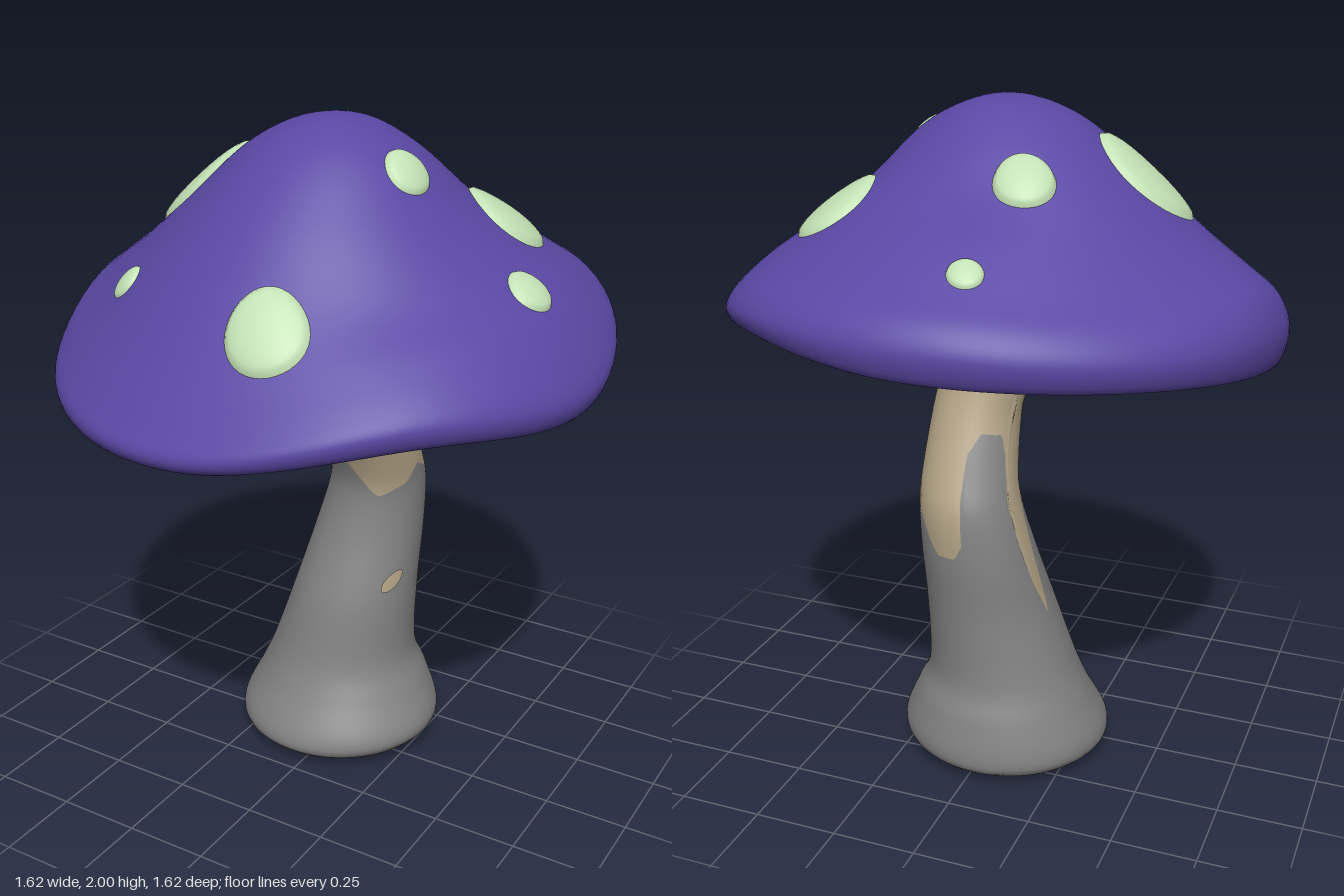
import * as THREE from 'three';
import { mergeVertices } from 'three/addons/utils/BufferGeometryUtils.js';

const TAU = Math.PI * 2;
const { lerp, smoothstep } = THREE.MathUtils;

// Catmull-Rom value between b and c
function cubic(a, b, c, d, t) {
  return b + 0.5 * t * (c - a + t * (2 * a - 5 * b + 4 * c - d + t * (3 * (b - c) + d - a)));
}

// Smooth value of a list at fractional index s; "before" is the value ahead of the first
function along(list, s, before = 2 * list[0] - list[1]) {
  const n = list.length;
  const i = Math.min(Math.max(Math.floor(s), 0), n - 2);
  const at = k => (k < 0 ? before : list[Math.min(k, n - 1)]);
  return cubic(at(i - 1), at(i), at(i + 1), at(i + 2), s - i);
}

// Index at which a monotone function reaches a value
function solve(fn, value, hi) {
  let lo = 0;
  const rising = fn(hi) > fn(0);
  for (let k = 0; k < 30; k++) {
    const mid = (lo + hi) / 2;
    if ((fn(mid) < value) === rising) lo = mid; else hi = mid;
  }
  return (lo + hi) / 2;
}

// Closed-around surface: point(row fraction, angle) gives a Vector3
function surface(rows, sides, point, splitRow) {
  const pos = [], index = [];
  for (let i = 0; i <= rows; i++) {
    for (let j = 0; j < sides; j++) pos.push(...point(i / rows, (j / sides) * TAU).toArray());
  }
  for (let i = 0; i < rows; i++) {
    for (let j = 0; j < sides; j++) {
      const k = (j + 1) % sides;
      const a = i * sides + j, b = i * sides + k, c = a + sides, d = b + sides;
      index.push(a, b, c, b, d, c);
    }
  }
  const geo = new THREE.BufferGeometry();
  geo.setAttribute('position', new THREE.Float32BufferAttribute(pos, 3));
  geo.setIndex(index);
  if (splitRow) {
    geo.addGroup(0, splitRow * sides * 6, 0);
    geo.addGroup(splitRow * sides * 6, (rows - splitRow) * sides * 6, 1);
  }
  const merged = mergeVertices(geo, 1e-5);
  merged.computeVertexNormals();
  return merged;
}

// Cap: shared radii, and heights for eight directions starting at +x and turning to +z
const capRadii = [0, 0.12, 0.25, 0.4, 0.55, 0.68, 0.77, 0.81, 0.79, 0.74, 0.54];
const capHeights = [
  [2, 1.98, 1.91, 1.76, 1.63, 1.53, 1.42, 1.34, 1.28],
  [2, 1.985, 1.92, 1.77, 1.60, 1.50, 1.42, 1.36, 1.305],
  [2, 1.985, 1.92, 1.78, 1.60, 1.43, 1.31, 1.25, 1.21],
  [2, 1.98, 1.91, 1.77, 1.61, 1.46, 1.35, 1.28, 1.22],
  [2, 1.98, 1.91, 1.78, 1.66, 1.57, 1.50, 1.40, 1.30],
  [2, 1.98, 1.91, 1.80, 1.68, 1.58, 1.51, 1.44, 1.37],
  [2, 1.98, 1.90, 1.77, 1.69, 1.61, 1.55, 1.48, 1.405],
  [2, 1.98, 1.90, 1.77, 1.67, 1.59, 1.53, 1.47, 1.42],
].map(h => [...h, h[8] + 0.01, h[8] + 0.055]); // lip rolled under

const capRadius = s => along(capRadii, s, -capRadii[1]);
function capHeight(s, angle) {
  const f = (((angle / TAU) % 1) + 1) % 1 * 8;
  const i = Math.floor(f);
  const h = k => along(capHeights[(i + k + 8) % 8], s, capHeights[(i + k + 8) % 8][1]);
  return cubic(h(-1), h(0), h(1), h(2), f - i);
}
function capPoint(s, angle) {
  const r = capRadius(s);
  return new THREE.Vector3(r * Math.cos(angle), capHeight(s, angle), r * Math.sin(angle));
}
function capOver(x, z) {
  const s = solve(capRadius, Math.hypot(x, z), 7);
  return new THREE.Vector3(x, capHeight(s, Math.atan2(z, x)), z);
}

// Domed spot lying on the cap: centre, half sizes and turn seen from above
function spotGeometry([x, z, rx, rz, turn]) {
  const c = Math.cos(turn), s = Math.sin(turn);
  const e = 0.02;
  return surface(10, 36, (v, a) => {
    const u = rx * v * Math.cos(a), w = rz * v * Math.sin(a);
    const px = x + u * c - w * s, pz = z + u * s + w * c;
    const p = capOver(px, pz);
    const normal = new THREE.Vector3(
      capOver(px - e, pz).y - capOver(px + e, pz).y, 2 * e,
      capOver(px, pz - e).y - capOver(px, pz + e).y).normalize();
    const lift = 0.033 * Math.min(1, rx / 0.08) * Math.sqrt(1 - v * v) - 0.003;
    return p.addScaledVector(normal, lift);
  });
}

// Stem sections from top to bottom: y, centre x, centre z, half width, half depth
const stem = [
  [1.5, 0.03, 0.02, 0.125, 0.125], [1.3, 0.045, -0.025, 0.135, 0.135],
  [1.2, 0.05, -0.05, 0.135, 0.14], [1.1, 0.063, -0.09, 0.132, 0.14],
  [0.95, 0.06, -0.155, 0.14, 0.145], [0.85, 0.05, -0.185, 0.15, 0.155],
  [0.7, 0.03, -0.172, 0.17, 0.172], [0.5, 0.005, -0.13, 0.195, 0.2],
  [0.3, -0.025, -0.11, 0.23, 0.225], [0.2, -0.025, -0.105, 0.272, 0.262],
  [0.09, -0.025, -0.085, 0.32, 0.305], [0.035, -0.03, -0.08, 0.3, 0.295],
  [0, -0.03, -0.08, 0.21, 0.21],
];
const stemColumns = [0, 1, 2, 3, 4].map(k => stem.map(row => row[k]));
function stemPoint(y, angle, grow = 0, scale = 1) {
  const s = solve(t => along(stemColumns[0], t), y, stem.length - 1);
  const [, cx, cz, rx, rz] = stemColumns.map(col => along(col, s));
  return new THREE.Vector3(
    cx + (rx + grow) * scale * Math.cos(angle), y, cz + (rz + grow) * scale * Math.sin(angle));
}

// Ragged line between the bare top and the coated lower stem: degrees, height
const ragged = [
  [0, 0.94], [30, 0.88], [60, 0.85], [108, 0.98], [145, 0.94], [165, 0.87], [175, 0.76], [188, 0.5],
  [195, 0.6], [203, 1.0], [213, 1.06], [240, 1.07], [254, 1.02], [262, 0.76], [272, 0.72],
  [290, 0.72], [315, 0.82], [340, 0.91], [360, 0.94],
];
function raggedHeight(angle) {
  const deg = angle * 360 / TAU;
  const k = Math.max(1, ragged.findIndex(p => p[0] >= deg));
  const [a, ya] = ragged[k - 1], [b, yb] = ragged[k];
  const t = (deg - a) / (b - a);
  return lerp(ya, yb, (t + smoothstep(t, 0, 1)) / 2);
}

export function createModel() {
  const group = new THREE.Group();
  const material = (name, color, side = THREE.FrontSide) =>
    new THREE.MeshStandardMaterial({ name, color, side });
  const purple = material('purple', 0x5a48a4);
  const green = material('pale green', 0xc3e1b5);
  const grey = material('grey', 0x838383);
  const tan = material('tan', 0xb3a386);
  const gillGrey = material('gill grey', 0xa2a2b2, THREE.DoubleSide);
  const add = (name, geo, mat) => {
    const mesh = new THREE.Mesh(geo, mat);
    mesh.name = name;
    group.add(mesh);
  };

  // Cap with rolled lip
  add('cap', surface(60, 112, (v, a) => capPoint(v * 10, a)), purple);

  // Spots on the cap
  [
    [-0.39, 0.05, 0.135, 0.15, 0], [-0.165, -0.32, 0.085, 0.074, -0.2],
    [-0.12, -0.615, 0.05, 0.043, 0], [0.41, -0.265, 0.112, 0.142, -0.35],
    [0.275, 0.085, 0.055, 0.075, 0.1], [0.612, 0.017, 0.058, 0.073, 0],
    [-0.415, 0.425, 0.048, 0.037, 0.6], [0.148, 0.578, 0.117, 0.082, -0.1],
  ].forEach(s => add('capSpot', spotGeometry(s), green));

  // Pleated gills: a nearly flat outer band, then folds rising to the stem
  add('gills', surface(24, 432, (v, a) => {
    const edge = 0.705 + 0.012 * Math.sin(17 * a) + 0.008 * Math.sin(29 * a + 1);
    const r = lerp(edge, 0.08, v);
    const fold = 0.7 * Math.cos(30 * a + 1.2 * Math.sin(4 * a)) + 0.3 * Math.cos(47 * a);
    const rise = Math.max(0, (v - 0.14) / 0.86);
    const y = lerp(capHeight(8, a) + 0.008 + 0.1 * Math.min(v, 0.14), 1.48, 1 - (1 - rise) ** 1.3);
    const depth = 0.003 + 0.016 * smoothstep(v, 0.12, 0.4) * (1 - 0.6 * v);
    return new THREE.Vector3(
      r * Math.cos(a) + 0.03 * v, y + depth * fold, r * Math.sin(a) + 0.02 * v);
  }), gillGrey);

  // Stem, bare above the ragged line and coated below, closed underneath
  const upper = 20, lower = 44, rows = upper + lower + 1;
  add('stem', surface(rows, 180, (v, a) => {
    const i = Math.round(v * rows);
    const line = raggedHeight(a);
    if (i <= upper) return stemPoint(lerp(1.5, line, i / upper), a);
    if (i < rows) return stemPoint(line * (1 - (i - upper) / lower) ** 1.3, a);
    return stemPoint(0, a, 0, 0);
  }, upper), [tan, grey]);

  // Small bare patch on the side of the stem
  add('stemPatch', surface(4, 20, (v, a) =>
    stemPoint(0.575 + 0.028 * v * Math.sin(a) - 0.015 * v * Math.cos(a),
      0.52 + 0.19 * v * Math.cos(a), 0.006)), tan);

  return group;
}
